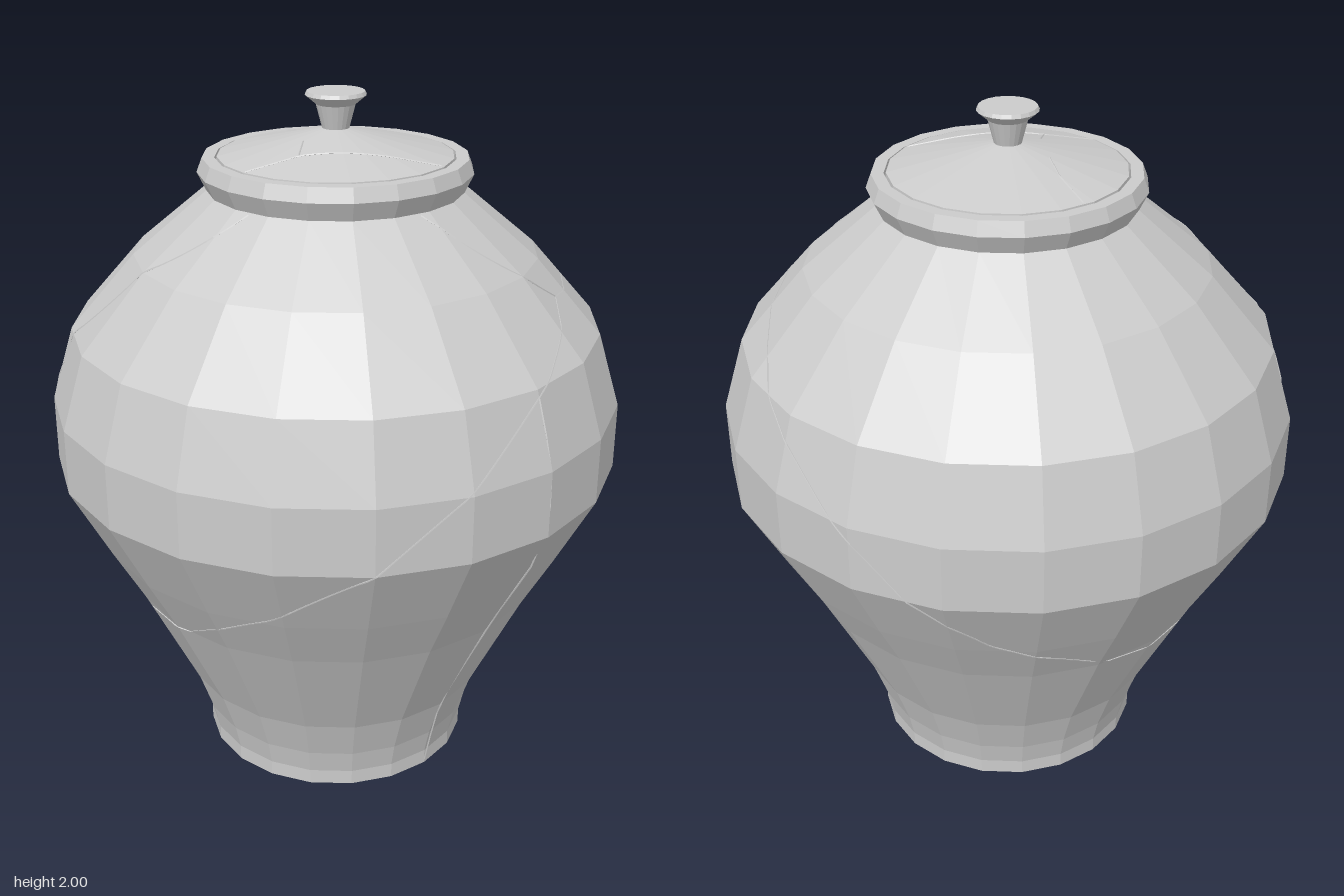
import * as THREE from 'three';

const SIDES = 20;
const STEP = (Math.PI * 2) / SIDES;
const material = new THREE.MeshStandardMaterial({ color: 0xcccccc, flatShading: true });

// Profiles as [radius, height], bottom to top
const BODY = [[0.4, 0], [0.4, 0.045], [0.417, 0.12], [0.46, 0.245], [0.617, 0.57], [0.705, 0.73],
  [0.82, 0.95], [0.82, 1.14], [0.755, 1.35], [0.57, 1.56], [0.36, 1.735]];
const RIM = [[0.36, 1.735], [0.385, 1.787], [0.37, 1.826], [0.335, 1.826], [0.333, 1.79]];
const LID = [[0.333, 1.79], [0.329, 1.828], [0.035, 1.9]];
const KNOB = [[0, 1.895], [0.038, 1.9], [0.055, 1.965], [0.085, 1.99], [0.08, 2], [0, 2]];

function lathe(name, profile) {
  const points = profile.map(([r, y]) => new THREE.Vector2(r, y));
  const mesh = new THREE.Mesh(new THREE.LatheGeometry(points, SIDES), material);
  mesh.name = name;
  return mesh;
}

// Distance from the axis to the flat facet at a given angle
function facetRadius(r, angle) {
  const local = angle - Math.floor(angle / STEP) * STEP - STEP / 2;
  return (r * Math.cos(STEP / 2)) / Math.cos(local);
}

function bodyPoint(degrees, y) {
  let i = 1;
  while (i < BODY.length - 1 && y > BODY[i][1]) i++;
  const [r0, y0] = BODY[i - 1], [r1, y1] = BODY[i];
  const a = THREE.MathUtils.degToRad(degrees);
  const r = facetRadius(r0 + ((r1 - r0) * (y - y0)) / (y1 - y0), a);
  return new THREE.Vector3(r * Math.sin(a), y, r * Math.cos(a));
}

function lidPoint(x, z) {
  const a = Math.atan2(x, z);
  const slope = (LID[2][1] - LID[1][1]) / (LID[1][0] - LID[2][0]);
  const r = Math.hypot(x, z) / facetRadius(1, a);
  return new THREE.Vector3(x, LID[1][1] + Math.max(0, LID[1][0] - r) * slope, z);
}

// Hairline crack laid on a surface through pairs of surface coordinates
function crack(name, path, place) {
  const points = [place(...path[0])];
  for (let i = 1; i < path.length; i++) {
    for (let k = 1; k <= 6; k++) {
      const t = k / 6;
      points.push(place(
        THREE.MathUtils.lerp(path[i - 1][0], path[i][0], t),
        THREE.MathUtils.lerp(path[i - 1][1], path[i][1], t)));
    }
  }
  const curve = new THREE.CatmullRomCurve3(points);
  const mesh = new THREE.Mesh(new THREE.TubeGeometry(curve, points.length * 2, 0.0025, 4), material);
  mesh.name = name;
  return mesh;
}

export function createModel() {
  const urn = new THREE.Group();
  urn.name = 'lidded urn';

  urn.add(lathe('body', [[0, 0], ...BODY]), lathe('rim', RIM), lathe('lid', LID), lathe('knob', KNOB));

  // Cracks around the body: [degrees from the front, height]
  const bodyCracks = [
    [[-5, 1.73], [0, 1.7], [28.6, 1.48]],
    [[28.6, 1.48], [0, 1.33], [-19, 1.14], [-36, 0.95], [-57, 0.75], [-85, 0.57]],
    [[28.6, 1.48], [52, 1.46], [73, 1.4], [90, 1.28], [108, 1.1], [119, 0.95], [134, 0.76], [165, 0.57]],
    [[0, 1.33], [0, 0.01]],
    [[-82, 1.73], [-108, 1.56], [-122, 1.35], [-128, 1.14], [-133, 0.95], [-140, 0.75], [-146, 0.52]],
    [[-85, 0.57], [-115, 0.53], [-146, 0.51], [-175, 0.53], [-195, 0.57]],
  ];
  bodyCracks.forEach((path) => urn.add(crack('bodyCrack', path, bodyPoint)));

  // Cracks across the lid: [x, z]
  const lidCracks = [
    [[-0.325, 0], [-0.19, 0.06], [0.1, 0.305]],
    [[-0.19, 0.06], [-0.12, 0]],
    [[0.03, -0.32], [0, -0.2], [-0.04, -0.12]],
  ];
  lidCracks.forEach((path) => urn.add(crack('lidCrack', path, lidPoint)));
  urn.add(crack('knobCrack', [[-0.03, 0.07], [0.03, -0.07]], (x, z) => new THREE.Vector3(x, 1.998, z)));

  return urn;
}
